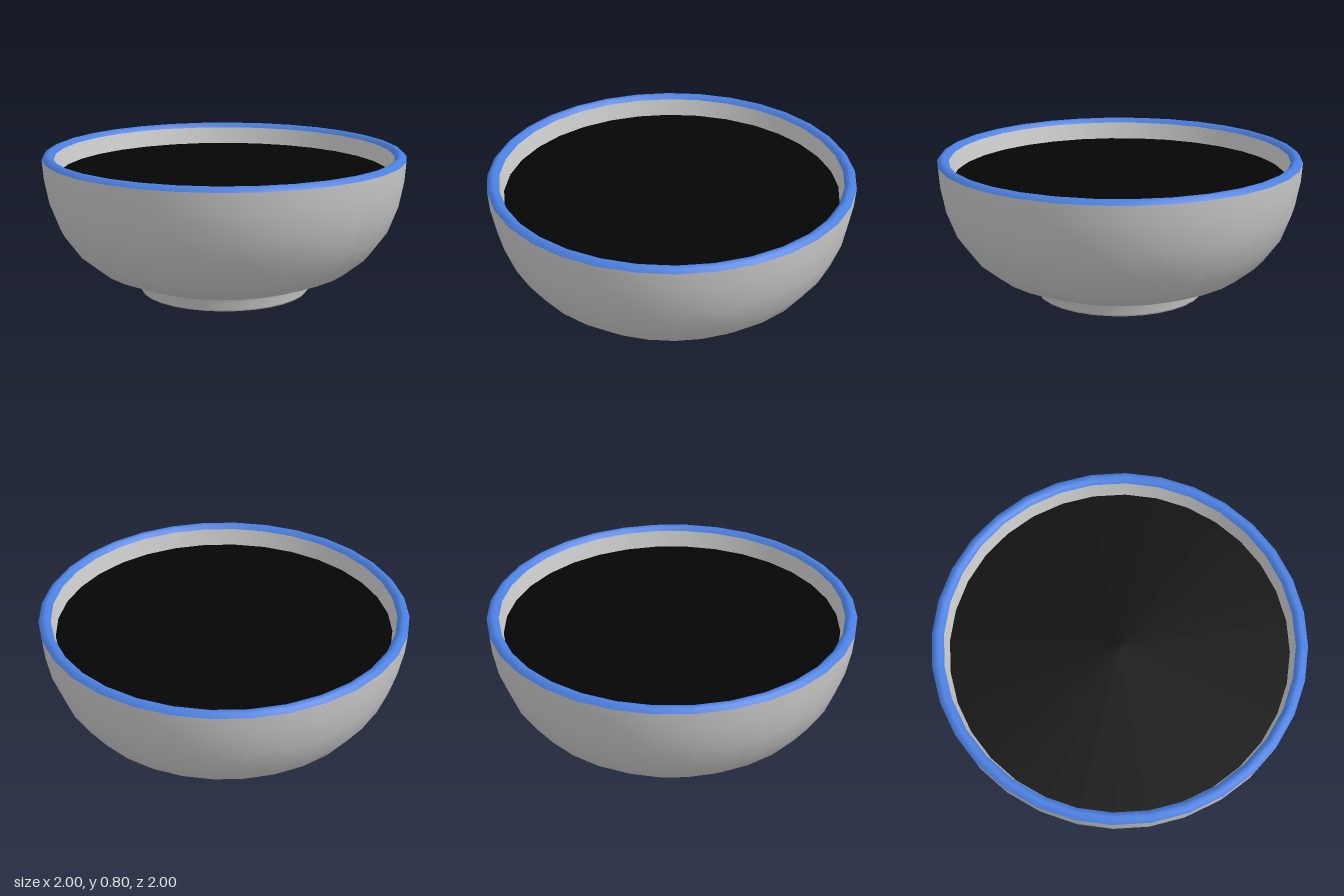
import * as THREE from 'three';

const SEGMENTS = 32;

// Revolved surface; a profile running upwards faces outwards, downwards faces inwards
function lathe(name, points, color) {
  const geometry = new THREE.LatheGeometry(points.map(([r, y]) => new THREE.Vector2(r, y)), SEGMENTS);
  const mesh = new THREE.Mesh(geometry, new THREE.MeshStandardMaterial({ color }));
  mesh.name = name;
  return mesh;
}

export function createModel() {
  const bowl = new THREE.Group();
  bowl.name = 'bowl';
  const grey = 0xcccccc;

  // Nearly flat underside of the foot
  bowl.add(lathe('footBase', [[0, 0], [0.24, 0.003], [0.44, 0.01]], grey));

  // Foot ring with a rounded lower edge, flowing into the outer wall
  bowl.add(lathe('outerWall', [
    [0.44, 0.01], [0.465, 0.016], [0.475, 0.03], [0.476, 0.075], [0.49, 0.09],
    [0.59, 0.12], [0.71, 0.17], [0.82, 0.26], [0.91, 0.385],
    [0.965, 0.53], [0.992, 0.67], [1, 0.775],
  ], grey));

  // Coloured rounded lip
  bowl.add(lathe('rim', [
    [1, 0.775], [0.985, 0.793], [0.967, 0.8], [0.95, 0.793], [0.935, 0.775],
  ], 0x4a7fe0));

  // Inner wall, continuing below the liquid
  bowl.add(lathe('innerWall', [
    [0.935, 0.775], [0.915, 0.68], [0.885, 0.54], [0.835, 0.41], [0.75, 0.295],
    [0.64, 0.215], [0.5, 0.16], [0.25, 0.13], [0, 0.125],
  ], grey));

  // Flat dark liquid surface
  const liquid = lathe('liquid', [[0.916, 0.68], [0, 0.68]], 0x050505);
  bowl.add(liquid);

  return bowl;
}
